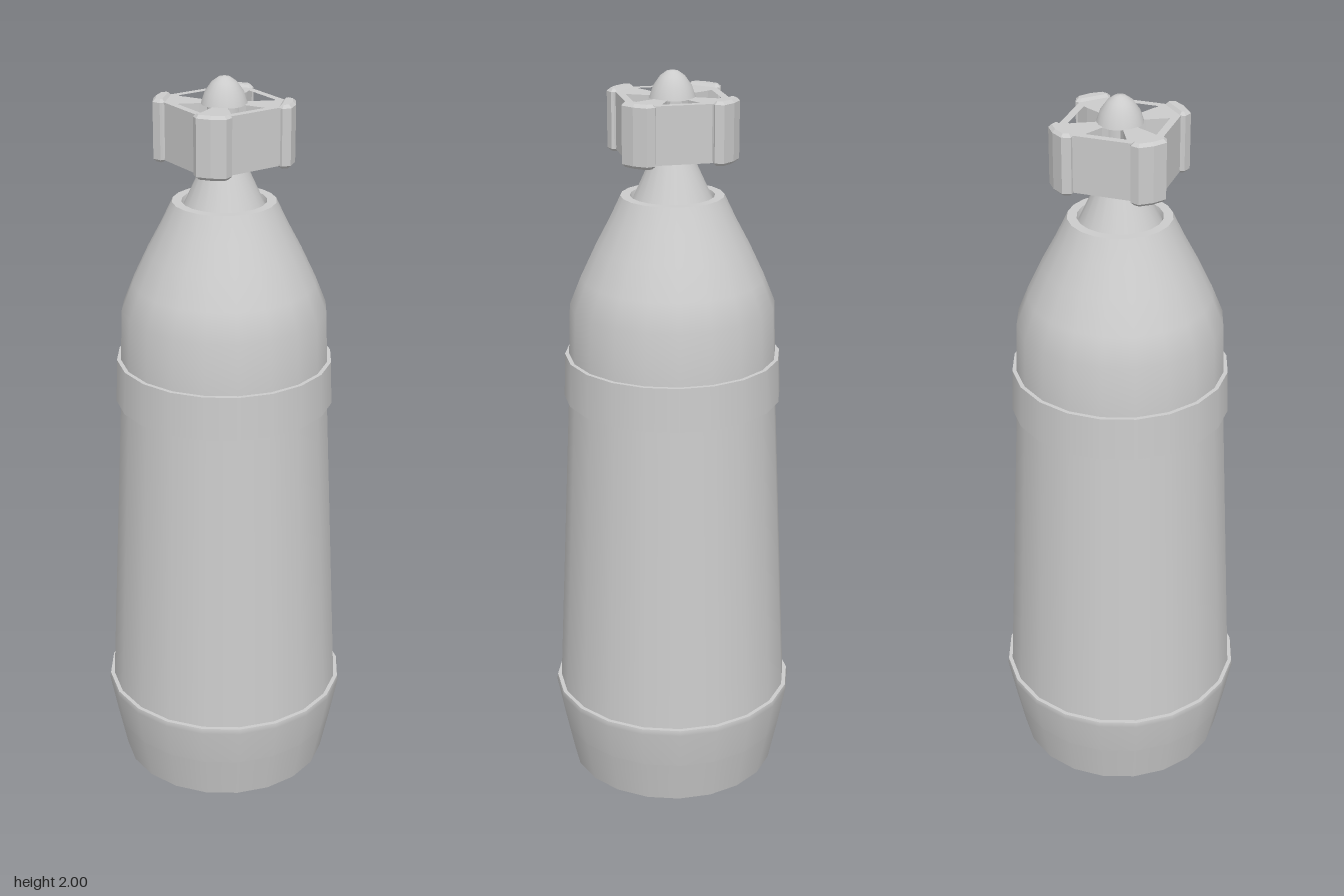
import * as THREE from 'three';

const SIDES = 20;

export function createModel() {
  const model = new THREE.Group();
  const smooth = new THREE.MeshStandardMaterial({ color: 0xcccccc, side: THREE.DoubleSide });
  const flat = new THREE.MeshStandardMaterial({ color: 0xcccccc, flatShading: true });

  // Turned part: each run of [radius, height] points is smooth, runs meet at sharp edges
  function turned(name, ...runs) {
    const part = new THREE.Group();
    part.name = name;
    for (const run of runs) {
      const points = run.map(([r, y]) => new THREE.Vector2(r, y));
      part.add(new THREE.Mesh(new THREE.LatheGeometry(points, SIDES), smooth));
    }
    model.add(part);
  }

  // Upright prism from a plan outline of [x, z] points
  function prism(outline, y0, y1, bevel = 0, hole = null) {
    const toPoints = (list) => list.map(([x, z]) => new THREE.Vector2(x, -z));
    const shape = new THREE.Shape(toPoints(outline));
    if (hole) shape.holes.push(new THREE.Path(toPoints(hole)));
    const geometry = new THREE.ExtrudeGeometry(shape, {
      depth: y1 - y0 - 2 * bevel, bevelEnabled: bevel > 0, bevelSegments: 1,
      bevelSize: bevel, bevelThickness: bevel, bevelOffset: -bevel,
    });
    geometry.rotateX(-Math.PI / 2).translate(0, y0 + bevel, 0);
    return geometry;
  }

  // Shell body
  turned('base', [[0, 0], [0.29, 0]], [[0.29, 0], [0.316, 0.125]]);
  turned('lowerBand', [[0.316, 0.125], [0.337, 0.235], [0.335, 0.25]], [[0.335, 0.25], [0.324, 0.25]]);
  turned('body', [[0.324, 0.25], [0.283, 1.12]]);
  turned('upperBand', [[0.283, 1.12], [0.295, 1.12]], [[0.295, 1.12], [0.291, 1.24]], [[0.291, 1.24], [0.28, 1.24]]);
  turned('shoulder', [[0.28, 1.24], [0.275, 1.38], [0.245, 1.455], [0.205, 1.54], [0.168, 1.61], [0.137, 1.675]]);
  turned('shoulderRim', [[0.137, 1.675], [0.112, 1.675]], [[0.112, 1.675], [0.108, 1.66]]);

  // Neck and pointed hub running through the vanes
  turned('neck', [[0.108, 1.66], [0.053, 1.78]], [[0.053, 1.78], [0.045, 1.93]]);
  turned('tip', [[0.045, 1.93], [0.06, 1.93]], [[0.06, 1.93], [0.05, 1.96], [0.032, 1.985], [0.015, 1.997], [0, 2]]);

  // Four vanes, each a flared arm with a chamfered end pad
  const arm = [[-0.018, 0.03], [-0.021, 0.06], [-0.038, 0.112], [-0.046, 0.158],
    [0.046, 0.158], [0.038, 0.112], [0.021, 0.06], [0.018, 0.03]];
  const pad = [[-0.04, 0.145], [-0.049, 0.157], [-0.038, 0.178], [0, 0.184],
    [0.038, 0.178], [0.049, 0.157], [0.04, 0.145]];
  const armGeometry = prism(arm, 1.79, 1.932);
  const padGeometry = prism(pad, 1.778, 1.942, 0.008);
  for (let i = 0; i < 4; i++) {
    const vane = new THREE.Group();
    vane.name = 'vane';
    vane.add(new THREE.Mesh(armGeometry, flat), new THREE.Mesh(padGeometry, flat));
    vane.rotation.y = i * Math.PI / 2;
    model.add(vane);
  }

  // Diamond wall joining the vanes
  const diamond = (a, b) => [[a, b], [b, a], [-b, a], [-a, b], [-a, -b], [-b, -a], [b, -a], [a, -b]];
  const wall = new THREE.Mesh(prism(diamond(0.148, 0.042), 1.785, 1.935, 0, diamond(0.124, 0.038)), flat);
  wall.name = 'vaneRing';
  model.add(wall);

  return model;
}
